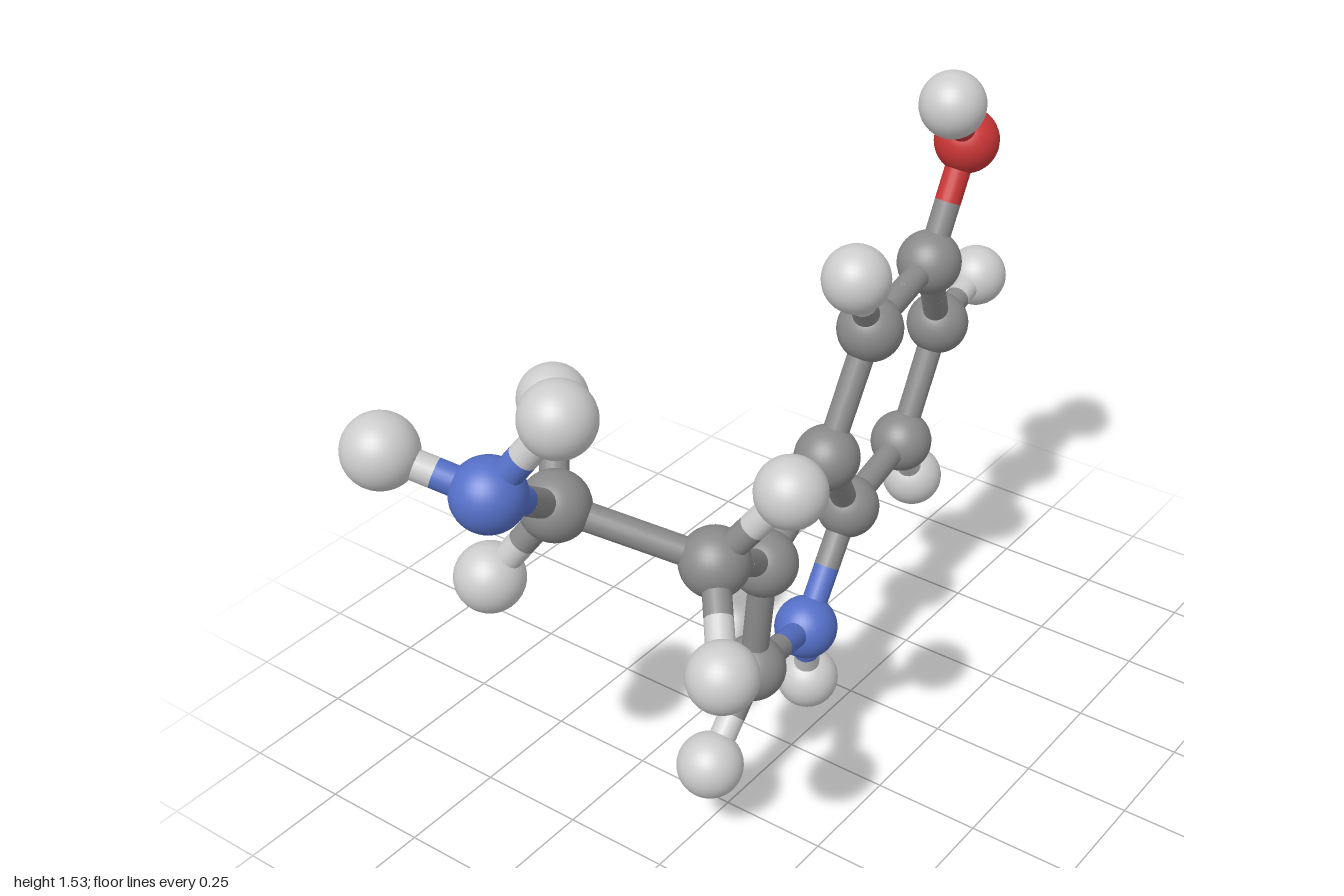
import * as THREE from 'three';

const ATOM_RADIUS = 0.074;
const BOND_RADIUS = 0.03;

const paint = (name, color) => {
  const m = new THREE.MeshStandardMaterial({ color });
  m.name = name;
  return m;
};

// Atom centres: element, x, y, z
const ATOMS = {
  oxygen: ['O', 0.655, 1.313, 0.015],
  hydroxylHydrogen: ['H', 0.51, 1.457, 0.061],
  // six-sided ring
  ringC5: ['C', 0.532, 1.056, 0.004],
  ringC4: ['C', 0.233, 1.03, 0.043],
  ringC6: ['C', 0.692, 0.81, -0.063],
  ringC7: ['C', 0.564, 0.537, -0.075],
  ringC7a: ['C', 0.27, 0.521, -0.032],
  ringC3a: ['C', 0.099, 0.762, 0.025],
  ringH4: ['H', 0.104, 1.217, 0.09],
  ringH6: ['H', 0.924, 0.83, -0.097],
  ringH7: ['H', 0.698, 0.35, -0.123],
  // five-sided ring
  ringC3: ['C', -0.184, 0.655, 0.06],
  ringC2: ['C', -0.184, 0.361, 0.027],
  ringNitrogen: ['N', 0.094, 0.281, -0.026],
  ringNitrogenH: ['H', 0.158, 0.076, -0.066],
  ringH2: ['H', -0.356, 0.206, 0.035],
  // side chain
  chainC1: ['C', -0.441, 0.832, 0.128],
  chainH1a: ['H', -0.377, 1.014, 0.267],
  chainH1b: ['H', -0.596, 0.703, 0.261],
  chainC2: ['C', -0.596, 0.944, -0.144],
  chainH2a: ['H', -0.446, 1.072, -0.27],
  chainH2b: ['H', -0.666, 0.762, -0.27],
  endNitrogen: ['N', -0.842, 1.126, -0.075],
  endHydrogenA: ['H', -0.778, 1.297, 0.048],
  endHydrogenB: ['H', -0.928, 1.2, -0.252],
};

const BONDS = [
  ['oxygen', 'hydroxylHydrogen'], ['oxygen', 'ringC5'],
  ['ringC5', 'ringC4'], ['ringC5', 'ringC6'], ['ringC6', 'ringC7'],
  ['ringC7', 'ringC7a'], ['ringC7a', 'ringC3a'], ['ringC3a', 'ringC4'],
  ['ringC4', 'ringH4'], ['ringC6', 'ringH6'], ['ringC7', 'ringH7'],
  ['ringC3a', 'ringC3'], ['ringC3', 'ringC2'], ['ringC2', 'ringNitrogen'],
  ['ringNitrogen', 'ringC7a'], ['ringNitrogen', 'ringNitrogenH'], ['ringC2', 'ringH2'],
  ['ringC3', 'chainC1'], ['chainC1', 'chainH1a'], ['chainC1', 'chainH1b'],
  ['chainC1', 'chainC2'], ['chainC2', 'chainH2a'], ['chainC2', 'chainH2b'],
  ['chainC2', 'endNitrogen'], ['endNitrogen', 'endHydrogenA'], ['endNitrogen', 'endHydrogenB'],
];

export function createModel() {
  const model = new THREE.Group();
  model.name = 'ballAndStickMolecule';

  const materials = {
    H: paint('light grey', 0xcccccc),
    C: paint('mid grey', 0x8a8a8a),
    N: paint('blue', 0x5570c8),
    O: paint('red', 0xcc3636),
  };
  const ball = new THREE.SphereGeometry(ATOM_RADIUS, 32, 20);
  const centre = (name) => new THREE.Vector3(...ATOMS[name].slice(1));

  // Balls
  for (const name of Object.keys(ATOMS)) {
    const mesh = new THREE.Mesh(ball, materials[ATOMS[name][0]]);
    mesh.name = name;
    mesh.position.copy(centre(name));
    model.add(mesh);
  }

  // Half a stick, from a ball to the middle of the bond, in the ball's colour
  const up = new THREE.Vector3(0, 1, 0);
  const halfStick = (from, to) => {
    const a = centre(from);
    const mid = a.clone().lerp(centre(to), 0.5);
    const dir = mid.clone().sub(a);
    const stick = new THREE.CylinderGeometry(BOND_RADIUS, BOND_RADIUS, dir.length(), 20, 1, true);
    const mesh = new THREE.Mesh(stick, materials[ATOMS[from][0]]);
    mesh.name = `${from} bond`;
    mesh.position.copy(a).lerp(mid, 0.5);
    mesh.quaternion.setFromUnitVectors(up, dir.normalize());
    model.add(mesh);
  };
  for (const [a, b] of BONDS) {
    halfStick(a, b);
    halfStick(b, a);
  }
  return model;
}
